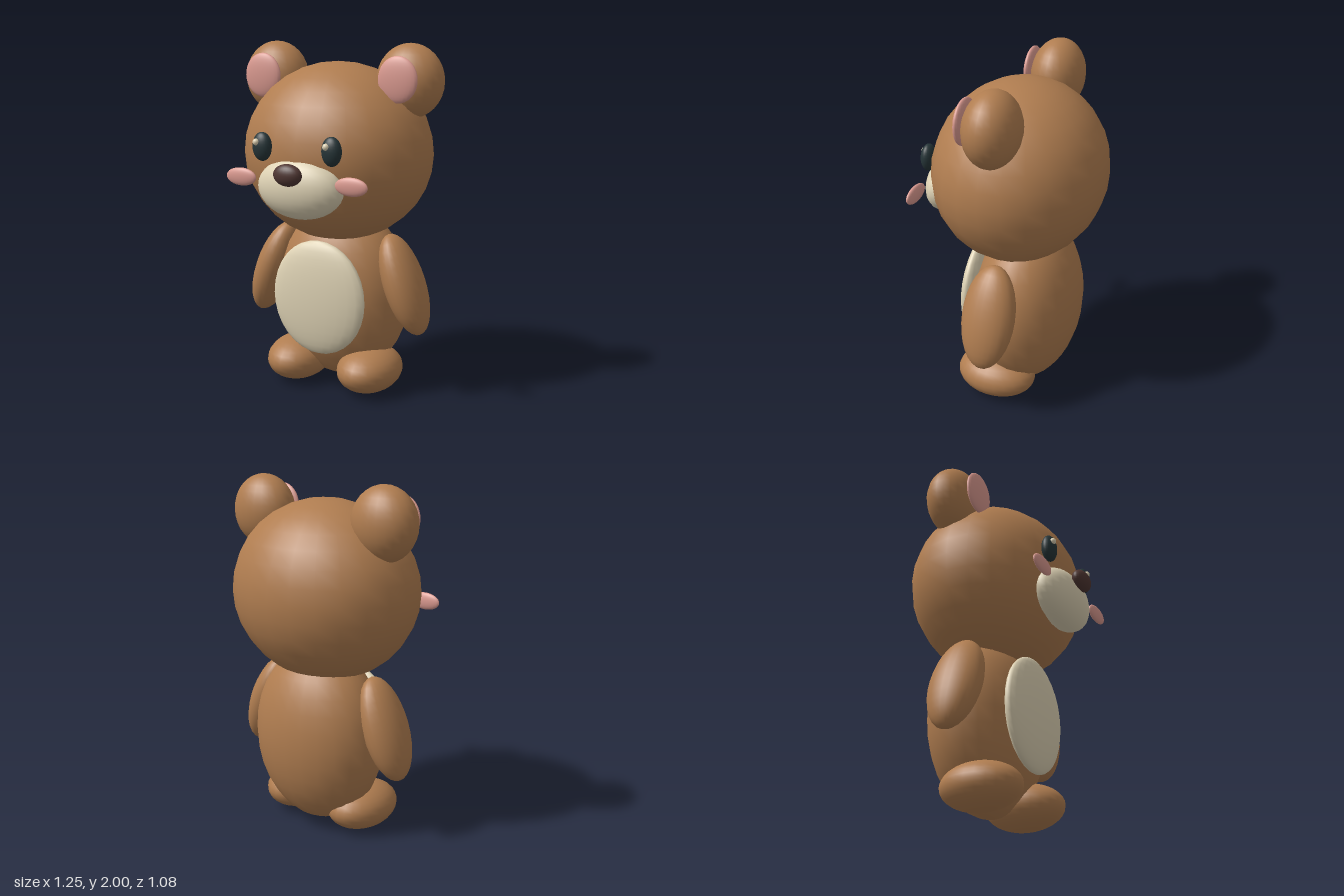
import * as THREE from 'three';

const mat = (name, color) => {
  const m = new THREE.MeshStandardMaterial({ color });
  m.name = name;
  return m;
};

export function createModel() {
  const fur = mat('brown fur', 0xb07d50);
  const cream = mat('cream', 0xded2b4);
  const pink = mat('pink', 0xdb9a90);
  const eyeDark = mat('dark eye', 0x263538);
  const noseDark = mat('dark nose', 0x503733);

  const bear = new THREE.Group();
  bear.name = 'teddyBear';
  const ball = new THREE.SphereGeometry(1, 24, 16);

  // One ellipsoid: centre, radii and optional sideways lean
  const blob = (name, material, center, radii, lean = 0) => {
    const mesh = new THREE.Mesh(ball, material);
    mesh.name = name;
    mesh.position.set(...center);
    mesh.scale.set(...radii);
    mesh.rotation.z = lean;
    bear.add(mesh);
  };

  // A mirrored pair of ellipsoids
  const pair = (name, material, [x, y, z], radii, lean = 0) => {
    blob('left' + name, material, [x, y, z], radii, lean);
    blob('right' + name, material, [-x, y, z], radii, -lean);
  };

  // Trunk
  blob('body', fur, [0, 0.55, -0.116], [0.41, 0.515, 0.304]);
  blob('belly', cream, [0, 0.572, 0.175], [0.295, 0.333, 0.07]);

  // Limbs
  pair('Arm', fur, [0.43, 0.653, -0.055], [0.11, 0.3, 0.155], 0.358);
  pair('Foot', fur, [0.236, 0.132, -0.012], [0.18, 0.132, 0.237]);

  // Head and ears
  blob('head', fur, [0, 1.385, -0.058], [0.557, 0.51, 0.483]);
  pair('Ear', fur, [0.428, 1.795, -0.092], [0.195, 0.205, 0.15]);
  pair('InnerEar', pink, [0.426, 1.81, 0.065], [0.117, 0.126, 0.03]);

  // Face
  blob('muzzle', cream, [0, 1.235, 0.365], [0.26, 0.17, 0.125]);
  blob('nose', noseDark, [0, 1.324, 0.495], [0.085, 0.06, 0.045]);
  pair('Eye', eyeDark, [0.215, 1.452, 0.405], [0.058, 0.079, 0.04]);
  pair('Cheek', pink, [0.342, 1.28, 0.425], [0.097, 0.05, 0.021]);

  // Eye highlights both sit toward the same side
  blob('leftEyeHighlight', cream, [0.199, 1.479, 0.437], [0.019, 0.019, 0.019]);
  blob('rightEyeHighlight', cream, [-0.233, 1.479, 0.437], [0.019, 0.019, 0.019]);

  return bear;
}
